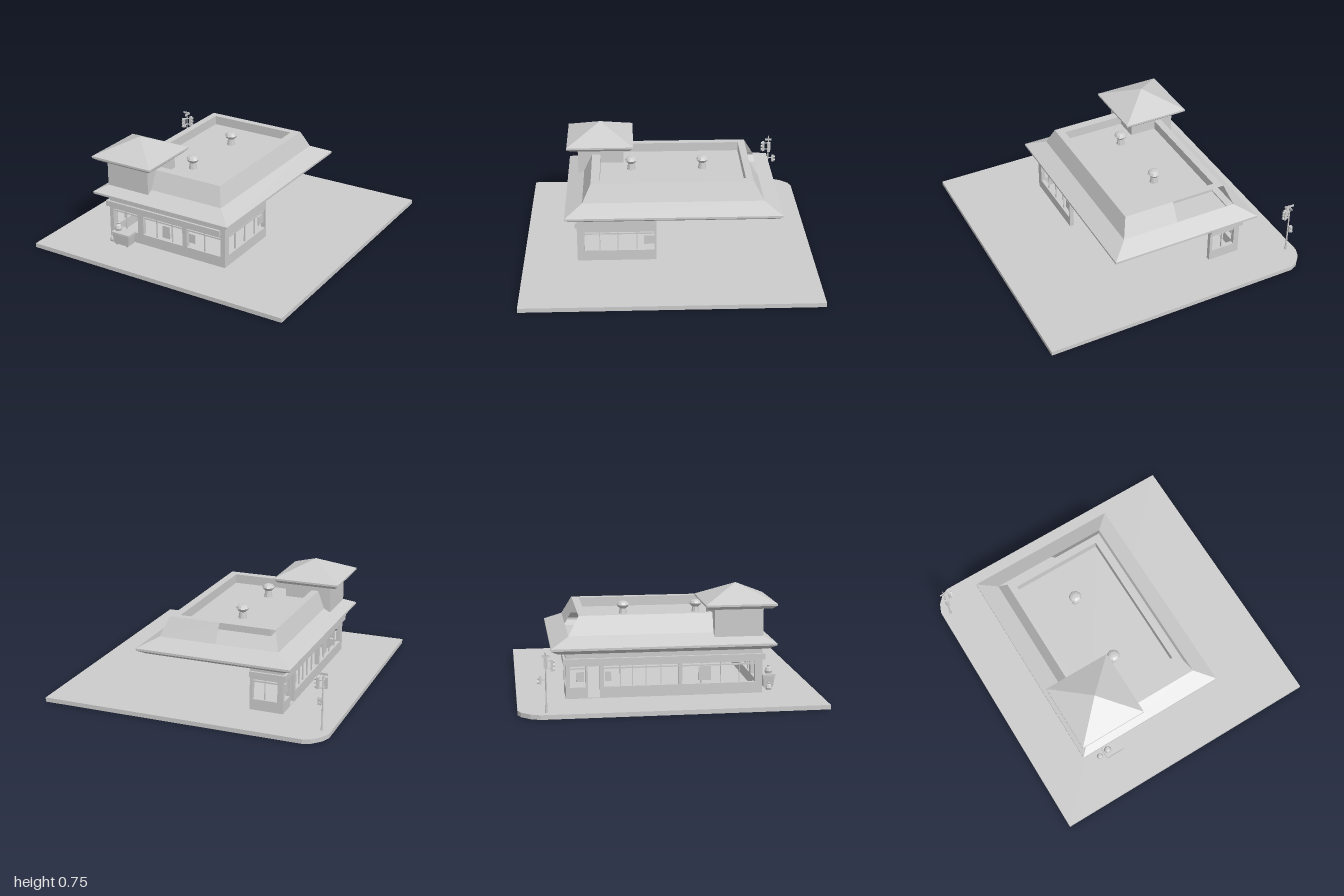
import * as THREE from 'three';

const mat = new THREE.MeshStandardMaterial({ color: 0xcccccc, flatShading: true });
const open = new THREE.MeshStandardMaterial({ color: 0xcccccc, flatShading: true, side: THREE.DoubleSide });

function add(parent, name, geo, x = 0, y = 0, z = 0, material = mat) {
  const m = new THREE.Mesh(geo, material);
  m.name = name;
  m.position.set(x, y, z);
  parent.add(m);
  return m;
}

// Box given by its extents
function box(parent, name, x0, x1, y0, y1, z0, z1) {
  return add(parent, name, new THREE.BoxGeometry(x1 - x0, y1 - y0, z1 - z0),
    (x0 + x1) / 2, (y0 + y1) / 2, (z0 + z1) / 2);
}

// Skin over stacked rectangles [x0, x1, z0, z1, y]; sides: 0 front, 1 right, 2 back, 3 left
function loft(rects, skip = () => false) {
  const pos = [];
  const tri = (...pts) => {
    const [a, b, c] = pts.map(p => new THREE.Vector3(...p));
    if (b.sub(a).cross(c.sub(a)).length() > 1e-9) pts.forEach(p => pos.push(...p));
  };
  const quad = (a, b, c, d) => { tri(a, b, c); tri(a, c, d); };
  const loops = rects.map(([x0, x1, z0, z1, y]) => [[x0, y, z1], [x1, y, z1], [x1, y, z0], [x0, y, z0]]);
  for (let k = 0; k < loops.length - 1; k++) {
    for (let i = 0; i < 4; i++) {
      const j = (i + 1) % 4;
      if (!skip(k, i)) quad(loops[k][i], loops[k][j], loops[k + 1][j], loops[k + 1][i]);
    }
  }
  quad(...loops[0].slice().reverse());
  quad(...loops[loops.length - 1]);
  const g = new THREE.BufferGeometry();
  g.setAttribute('position', new THREE.Float32BufferAttribute(pos, 3));
  g.computeVertexNormals();
  return g;
}

// Wall from u0 to u1 with openings [u0, u1, y0, y1], mullions and hung panels
function wall(parent, name, u0, u1, openings, mullions, panels) {
  const g = new THREE.Group();
  g.name = name;
  const rect = (P, a, b, c, d) => {
    const p = new P();
    p.moveTo(a, c); p.lineTo(b, c); p.lineTo(b, d); p.lineTo(a, d); p.closePath();
    return p;
  };
  const shape = rect(THREE.Shape, u0, u1, 0.03, 0.345);
  openings.forEach(o => shape.holes.push(rect(THREE.Path, ...o)));
  add(g, 'wallPanel', new THREE.ExtrudeGeometry(shape, { depth: 0.03, bevelEnabled: false }));
  for (const [a, b, c, d] of openings) if (c > 0.05) box(g, 'transom', a, b, d - 0.022, d - 0.012, 0.01, 0.02);
  for (const u of mullions) box(g, 'mullion', u - 0.003, u + 0.003, 0.105, 0.245, 0.01, 0.02);
  for (const [a, b, c, d] of panels) box(g, 'windowPanel', a, b, c, d, 0.012, 0.018);
  parent.add(g);
  return g;
}

export function createModel() {
  const model = new THREE.Group();
  model.name = 'cornerBuilding';

  // Paved lot with one rounded corner
  const lot = new THREE.Shape([[-0.97, -1], [0.97, -1], [0.97, 1], [-0.84, 1], [-0.89, 0.98], [-0.945, 0.92], [-0.97, 0.86]]
    .map(p => new THREE.Vector2(...p)));
  add(model, 'ground', new THREE.ExtrudeGeometry(lot, { depth: 0.03, bevelEnabled: false })).rotation.x = -Math.PI / 2;

  // Walls; the back right corner under the roof stays open
  const lo = 0.105, hi = 0.245;
  wall(model, 'frontWall', -0.6, 0.335,
    [[-0.57, -0.365, lo, hi], [-0.32, 0, lo, hi], [0.035, 0.3, lo, hi]],
    [-0.47, -0.215, -0.09, 0.17], [[-0.17, -0.11, 0.12, 0.21], [0.045, 0.095, 0.14, 0.205]]).position.z = 0.6;
  const left = wall(model, 'leftWall', -0.68, 0.6,
    [[-0.655, -0.55, lo, hi], [-0.535, -0.455, 0.034, hi], [-0.43, 0.065, lo, hi], [0.09, 0.58, lo, hi]],
    [-0.32, -0.24, -0.15, -0.05, 0.22, 0.35, 0.475],
    [[-0.42, -0.38, 0.14, 0.205], [-0.61, -0.56, 0.14, 0.205], [0.2, 0.285, 0.125, 0.22]]);
  left.position.x = -0.57;
  left.rotation.y = -Math.PI / 2;
  const right = wall(model, 'rightWall', 0.085, 0.6, [[0.1, 0.58, lo, hi]], [0.22, 0.35, 0.475], [[0.1, 0.17, 0.145, 0.21]]);
  right.position.x = 0.335;
  right.rotation.y = -Math.PI / 2;
  wall(model, 'backWall', -0.57, -0.37, [[-0.56, -0.39, lo, hi]], [-0.47], []).position.z = -0.68;

  // Projecting band above the windows
  box(model, 'frontBand', -0.62, 0.3, 0.26, 0.3, 0.63, 0.645);
  box(model, 'leftBand', -0.62, -0.6, 0.26, 0.3, -0.695, 0.645);
  box(model, 'backBand', -0.6, -0.37, 0.26, 0.3, -0.695, -0.68);

  // Main roof: soffit, fascia, eave, steep slope, rim and sunken deck
  add(model, 'mainRoof', loft([
    [-0.625, 0.35, -0.725, 0.66, 0.335],
    [-0.675, 0.4, -0.775, 0.71, 0.365],
    [-0.675, 0.4, -0.775, 0.71, 0.38],
    [-0.555, 0.28, -0.655, 0.59, 0.44],
    [-0.51, 0.235, -0.585, 0.53, 0.565],
    [-0.46, 0.18, -0.535, 0.47, 0.565],
    [-0.46, 0.18, -0.535, 0.47, 0.5],
  ], (band, side) => band === 3 && side === 2), 0, 0, 0, open);

  // Steep slope at the back, open towards the left end
  const slope = new THREE.BufferGeometry();
  slope.setAttribute('position', new THREE.Float32BufferAttribute(
    [0.28, 0.44, -0.655, -0.12, 0.44, -0.655, -0.12, 0.565, -0.585, 0.235, 0.565, -0.585], 3));
  slope.setIndex([0, 1, 2, 0, 2, 3]);
  slope.computeVertexNormals();
  add(model, 'backSlope', slope, 0, 0, 0, open);

  // Tower with hipped roof
  box(model, 'tower', -0.6, -0.27, 0.4, 0.612, 0.305, 0.632);
  add(model, 'towerRoof', loft([
    [-0.645, -0.225, 0.26, 0.682, 0.608],
    [-0.672, -0.2, 0.235, 0.71, 0.63],
    [-0.672, -0.2, 0.235, 0.71, 0.643],
    [-0.436, -0.436, 0.472, 0.472, 0.755],
  ]));

  // Roof vents
  const ventProfile = [[0, 0], [0.03, 0], [0.022, 0.045], [0.034, 0.055], [0.045, 0.07], [0.036, 0.085], [0.02, 0.093], [0, 0.095]]
    .map(p => new THREE.Vector2(...p));
  for (const z of [-0.255, 0.25]) add(model, 'roofVent', new THREE.LatheGeometry(ventProfile, 10), -0.155, 0.5, z);

  // Traffic light
  const signal = new THREE.Group();
  signal.name = 'trafficLight';
  signal.position.set(-0.91, 0, -0.82);
  model.add(signal);
  add(signal, 'pole', new THREE.CylinderGeometry(0.004, 0.006, 0.385, 8), 0, 0.2225, 0);
  add(signal, 'poleBase', new THREE.CylinderGeometry(0.007, 0.011, 0.03, 8), 0, 0.045, 0);
  box(signal, 'streetSign', -0.03, 0.03, 0.4, 0.416, -0.002, 0.002);
  box(signal, 'crossSign', -0.002, 0.002, 0.385, 0.4, -0.025, 0.025);
  const head = (x, y, z, turn, lamps) => {
    const h = new THREE.Group();
    h.name = 'signalHead';
    h.position.set(x, y, z);
    h.rotation.y = turn;
    const tall = lamps * 0.025;
    box(h, 'housing', -0.012, 0.012, -tall / 2, tall / 2, -0.008, 0.008);
    for (let i = 0; i < lamps; i++) {
      add(h, 'lampHood', new THREE.CylinderGeometry(0.009, 0.009, 0.012, 8), 0, (i - (lamps - 1) / 2) * 0.025, 0.013)
        .rotation.x = Math.PI / 2;
    }
    signal.add(h);
  };
  head(-0.005, 0.335, 0.038, 0, 3);
  head(0.036, 0.345, 0, Math.PI / 2, 3);
  head(0.008, 0.24, -0.036, Math.PI, 2);
  for (const y of [0.31, 0.36]) {
    box(signal, 'headBracket', -0.004, 0.004, y, y + 0.006, 0, 0.038);
    box(signal, 'headBracket', 0, 0.036, y, y + 0.006, -0.004, 0.004);
  }
  box(signal, 'headBracket', 0, 0.008, 0.238, 0.244, -0.036, 0);

  // Waste bin with bags beside the front wall
  const bin = new THREE.Group();
  bin.name = 'wasteBin';
  model.add(bin);
  add(bin, 'binBody', loft([[-0.495, -0.38, 0.665, 0.73, 0.04], [-0.505, -0.37, 0.658, 0.738, 0.115]]));
  box(bin, 'binLid', -0.508, -0.366, 0.115, 0.13, 0.655, 0.742);
  for (const x of [-0.48, -0.395]) for (const z of [0.675, 0.72]) {
    add(bin, 'binWheel', new THREE.CylinderGeometry(0.009, 0.009, 0.01, 8), x, 0.039, z).rotation.z = Math.PI / 2;
  }
  const bag = (x, y, z, r, h) => add(bin, 'bag', new THREE.LatheGeometry(
    [[0, 0], [0.8, 0.05], [1, 0.35], [0.7, 0.7], [0.25, 0.85], [0.4, 1], [0, 1]].map(([a, b]) => new THREE.Vector2(a * r, b * h)), 8), x, y, z);
  bag(-0.478, 0.13, 0.7, 0.027, 0.058);
  bag(-0.535, 0.03, 0.69, 0.023, 0.05);

  return model;
}
